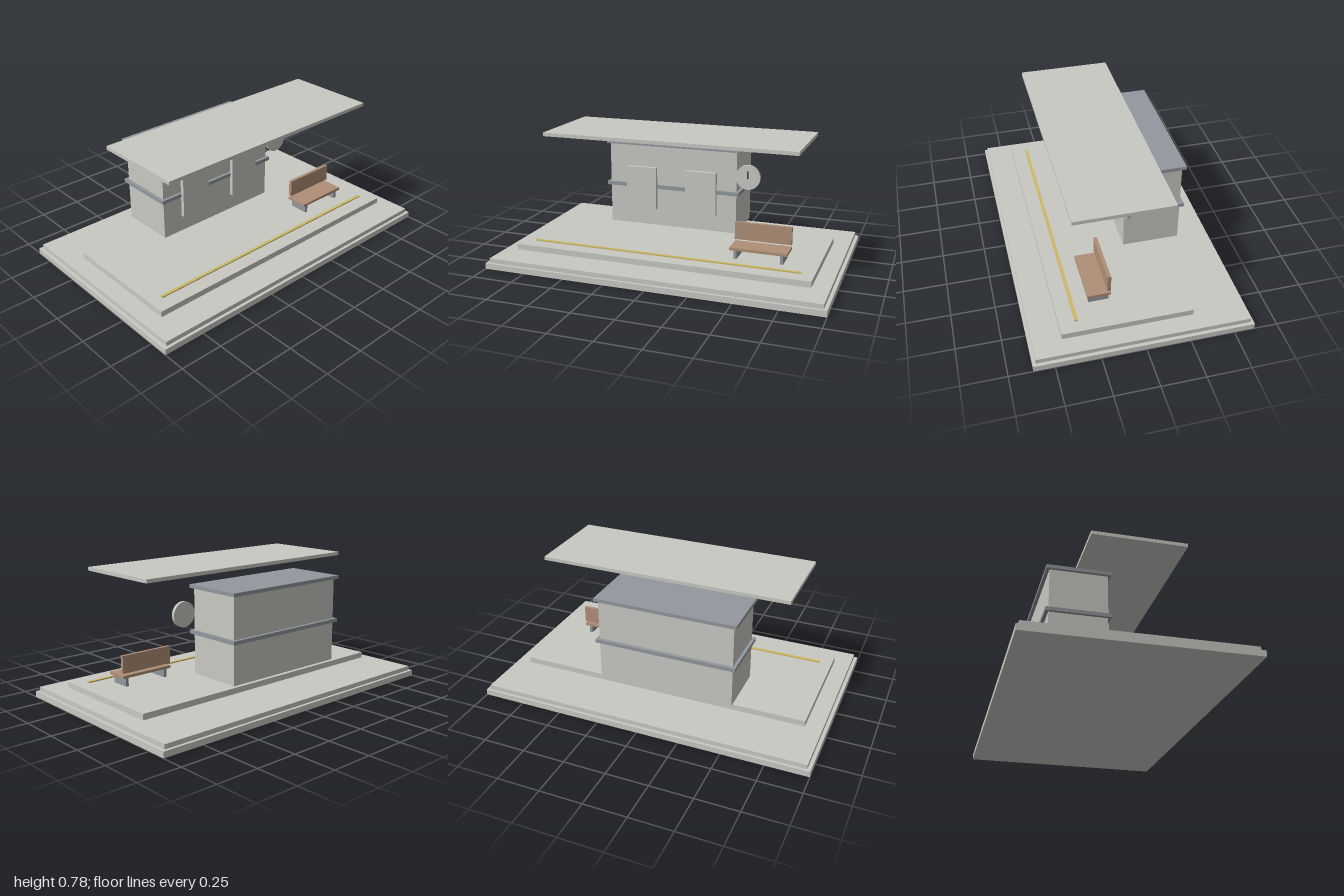
import * as THREE from 'three';

const material = (name, color) => {
  const m = new THREE.MeshStandardMaterial({ color });
  m.name = name;
  return m;
};

export function createModel() {
  const concrete = material('pale concrete', 0xc9c9c4);
  const slate = material('slate trim', 0x92989e);
  const wood = material('bench wood', 0xb09078);
  const yellow = material('safety yellow', 0xcdb968);
  const dark = material('dark hand', 0x3c4046);

  const model = new THREE.Group();
  model.name = 'stationStop';

  // Box given by its extents along each axis
  const box = (name, mat, [x0, x1], [y0, y1], [z0, z1], parent = model) => {
    const mesh = new THREE.Mesh(new THREE.BoxGeometry(x1 - x0, y1 - y0, z1 - z0), mat);
    mesh.position.set((x0 + x1) / 2, (y0 + y1) / 2, (z0 + z1) / 2);
    mesh.name = name;
    parent.add(mesh);
    return mesh;
  };

  // Stepped ground and raised platform
  box('baseSlab', concrete, [-1, 1], [0, 0.035], [-0.617, 0.617]);
  box('groundSlab', concrete, [-0.98, 0.98], [0.035, 0.062], [-0.6, 0.6]);
  box('platform', concrete, [-0.885, 0.885], [0.075, 0.11], [-0.297, 0.441]);
  box('safetyLine', yellow, [-0.81, 0.81], [0.11, 0.117], [0.334, 0.353]);

  // Building with two trim bands
  box('building', concrete, [-0.48, 0.332], [0.157, 0.66], [-0.38, -0.046]);
  for (const [name, y0, y1] of [['middleBand', 0.395, 0.417], ['topBand', 0.66, 0.681]])
    box(name, slate, [-0.498, 0.35], [y0, y1], [-0.4, -0.028]);

  // Floating canopy
  box('canopy', concrete, [-0.73, 0.775], [0.76, 0.781], [-0.202, 0.347]);

  // Wall panels
  for (const x of [-0.264, 0.117])
    box('wallPanel', concrete, [x - 0.096, x + 0.096], [0.267, 0.529], [-0.034, -0.011]);

  // Clock beside the building
  const clock = new THREE.Group();
  clock.name = 'clock';
  const face = new THREE.Mesh(new THREE.CylinderGeometry(0.074, 0.074, 0.02, 32), concrete);
  face.name = 'clockFace';
  face.rotation.x = Math.PI / 2;
  face.position.set(0.405, 0.517, -0.036);
  clock.add(face);
  box('clockHand', dark, [0.402, 0.408], [0.51, 0.556], [-0.026, -0.018], clock);
  model.add(clock);

  // Bench
  const bench = new THREE.Group();
  bench.name = 'bench';
  box('seat', wood, [0.38, 0.713], [0.162, 0.178], [0.126, 0.26], bench);
  box('backrest', wood, [0.38, 0.713], [0.192, 0.296], [0.126, 0.146], bench);
  for (const x of [0.412, 0.681])
    box('benchLeg', slate, [x - 0.009, x + 0.009], [0.062, 0.162], [0.135, 0.251], bench);
  model.add(bench);

  return model;
}
